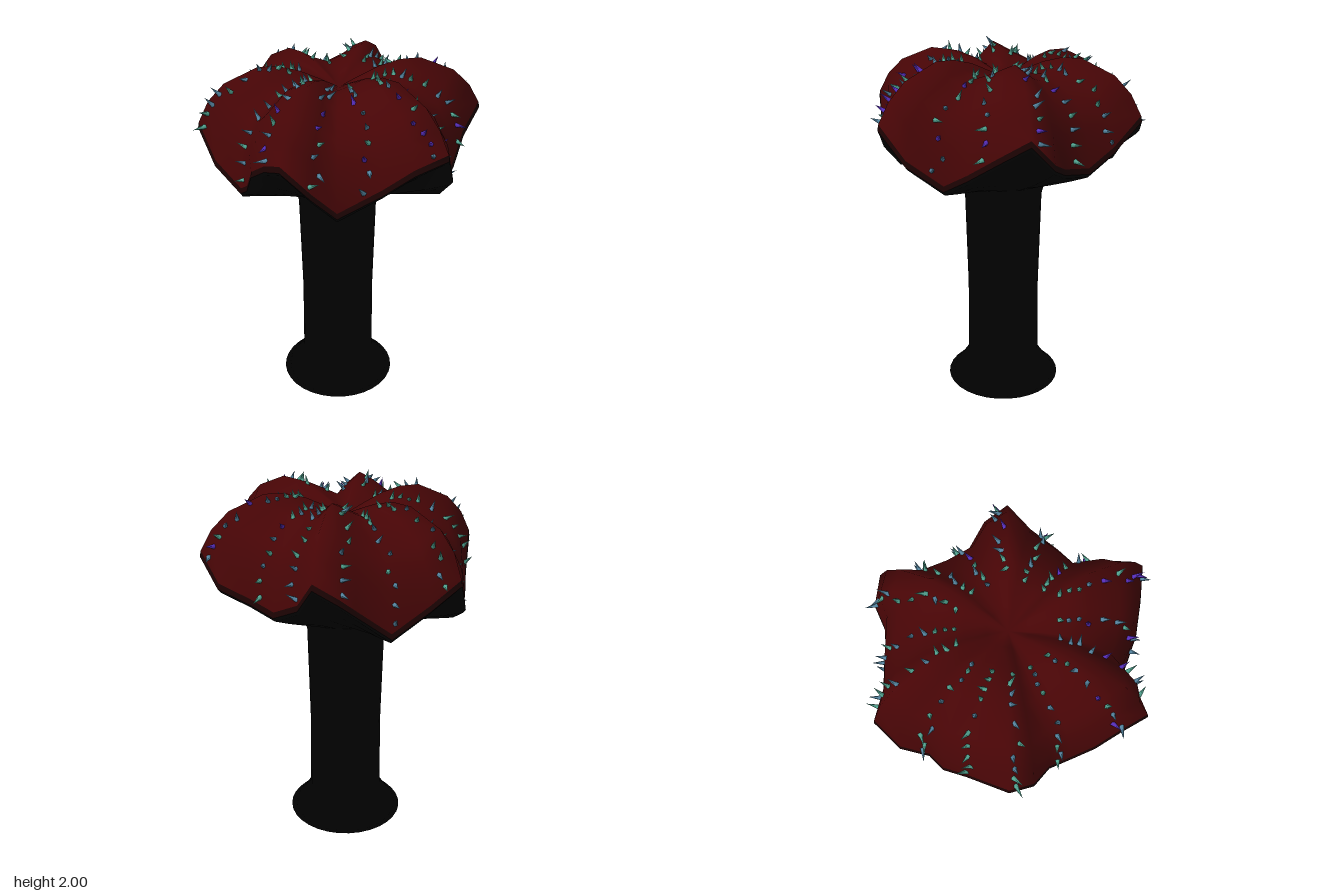
import * as THREE from 'three';
import { mergeGeometries, mergeVertices } from 'three/addons/utils/BufferGeometryUtils.js';

const CX = -0.02, CZ = 0.01, APEX = 1.82;

// Scalloped cap rim, [x, z, y], running round from the left side
const RIM = [
  [0.777, 0, 1.7], [0.69, 0.13, 1.63], [0.6, 0.25, 1.53], [0.43, 0.39, 1.38], [0.43, 0.54, 1.53],
  [0.36, 0.67, 1.69], [0.22, 0.66, 1.64], [0.09, 0.65, 1.56], [-0.02, 0.61, 1.43], [-0.12, 0.585, 1.37],
  [-0.25, 0.647, 1.5], [-0.39, 0.647, 1.67], [-0.51, 0.446, 1.52], [-0.585, 0.335, 1.43], [-0.607, 0.22, 1.37],
  [-0.72, 0.134, 1.45], [-0.77, 0.01, 1.62], [-0.68, -0.11, 1.5], [-0.585, -0.29, 1.38], [-0.49, -0.446, 1.52],
  [-0.48, -0.55, 1.6], [-0.39, -0.64, 1.68], [-0.25, -0.595, 1.53], [-0.08, -0.59, 1.45], [0.09, -0.59, 1.48],
  [0.23, -0.67, 1.55], [0.37, -0.656, 1.69], [0.42, -0.49, 1.58], [0.5, -0.34, 1.47], [0.55, -0.21, 1.39],
  [0.705, -0.116, 1.53],
];
// Radial profiles of a ridge and of a valley: [fraction of rim radius, height]
const RIDGE = [[0, APEX], [0.14, 1.875], [0.28, 1.925], [0.42, 1.955], [0.56, 1.96], [0.8, 1.885], [0.92, 1.8], [1, 1.7]];
const VALLEY = [[0, APEX], [0.16, 1.845], [0.32, 1.865], [0.46, 1.865], [0.62, 1.83], [0.86, 1.73], [0.97, 1.58], [1, 1.38]];
const LAST = RIDGE.length - 1;

const TAU = Math.PI * 2;
const { lerp, clamp, degToRad } = THREE.MathUtils;
const mod = (a) => ((a % TAU) + TAU) % TAU;
const polar = RIM.map(([x, z, y]) => ({
  a: mod(Math.atan2(z - CZ, x - CX)), r: Math.hypot(x - CX, z - CZ), y,
})).sort((p, q) => p.a - q.a);

// Rim radius and height at any angle
function rimAt(angle) {
  const a = mod(angle) + 1e-7, n = polar.length;
  const i = Math.max(polar.findIndex((p) => p.a > a), 0);
  const p = polar[(i + n - 1) % n], q = polar[i];
  const k = mod(a - p.a) / mod(q.a - p.a);
  return { r: lerp(p.r, q.r, k), y: lerp(p.y, q.y, k) };
}

const at = (angle, r, y) => new THREE.Vector3(CX + Math.cos(angle) * r, y, CZ + Math.sin(angle) * r);

// Point on the cap; t runs 0 at the apex to 1 at the rim
function capPoint(angle, t) {
  const rim = rimAt(angle);
  const w = clamp((rim.y - 1.38) / 0.32, 0, 1);
  const s = t * LAST, i = Math.min(Math.floor(s), LAST - 1), k = s - i;
  const mix = (c) => {
    const along = (P) => lerp(P[i][c], P[i + 1][c], k);
    return lerp(along(VALLEY), along(RIDGE), w);
  };
  const fix = (rim.y - (1.38 + 0.32 * w)) * t;
  return at(angle, rim.r * mix(0), mix(1) + fix);
}

// Skin a list of rings, each a function of angle
function loft(rings) {
  const angles = polar.map((p) => p.a), n = angles.length;
  const pos = [], idx = [];
  rings.forEach((ring) => angles.forEach((a) => pos.push(...ring(a).toArray())));
  const pointed = rings[0](0).distanceTo(rings[0](3)) < 1e-6;
  for (let i = 0; i < rings.length - 1; i++) {
    for (let j = 0; j < n; j++) {
      const a = i * n + j, b = i * n + ((j + 1) % n), c = a + n, d = b + n;
      if (i > 0 || !pointed) idx.push(a, b, c);
      idx.push(b, d, c);
    }
  }
  let g = new THREE.BufferGeometry();
  g.setAttribute('position', new THREE.Float32BufferAttribute(pos, 3));
  g.setIndex(idx);
  g = mergeVertices(g, 1e-5);
  g.computeVertexNormals();
  return g;
}

let seed = 7;
const rand = () => (seed = (seed * 16807) % 2147483647) / 2147483647;

export function createModel() {
  const group = new THREE.Group();
  const material = (name, color) => {
    const m = new THREE.MeshStandardMaterial({ color });
    m.name = name;
    return m;
  };
  const red = material('dark red', 0x470506);
  const maroon = material('rim maroon', 0x1c0202);
  const black = material('black', 0x010101);
  const spineMaterials = [
    material('teal', 0x54a894), material('slate blue', 0x5788a4), material('violet', 0x5a2fc0),
  ];
  const add = (name, geometry, mat) => {
    const mesh = new THREE.Mesh(geometry, mat);
    mesh.name = name;
    group.add(mesh);
  };

  // Cap top
  add('cap', loft(RIDGE.map((_, i) => (a) => capPoint(a, i / LAST))), red);

  // Rolled edge under the cap
  const edge = (scale, drop) => (a) => {
    const { r, y } = rimAt(a);
    return at(a, r * scale, y - drop);
  };
  add('capRim', loft([edge(1, 0), edge(1.008, 0.03)]), maroon);

  // Underside running in to the stem
  const under = (k, lift) => (a) => {
    const { r, y } = rimAt(a);
    return at(a, lerp(0.22, r, k), lerp(1.25, y - 0.05, lift));
  };
  add('capUnderside', loft([
    edge(1.008, 0.03), under(0.98, 1), under(0.7, 0.68), under(0.35, 0.32), under(0, 0),
  ]), black);

  // Stem with closed, flared foot and neck
  const profile = [[0, 0], [0.33, 0], [0.27, 0.06], [0.21, 0.15], [0.205, 0.6], [0.217, 1.17], [0.24, 1.25], [0.26, 1.28]];
  const stem = new THREE.LatheGeometry(profile.map(([x, y]) => new THREE.Vector2(x, y)), 32);
  add('stem', stem.translate(CX, 0, 0.02), black);

  // Rows of small spines standing out from the cap
  const buckets = [[], [], []];
  const up = new THREE.Vector3(0, 1, 0);
  for (let row = 0; row < 16; row++) {
    for (let i = 0; i < 10; i++) {
      const angle = degToRad(4 + row * 22.5 + (rand() - 0.5) * 5);
      const t = 0.36 + (i / 9) * 0.61;
      const p = capPoint(angle, t);
      const normal = capPoint(angle + 0.04, t).sub(capPoint(angle - 0.04, t))
        .cross(capPoint(angle, t + 0.02).sub(capPoint(angle, t - 0.02))).normalize();
      normal.add(new THREE.Vector3(rand() - 0.5, rand() - 0.5, rand() - 0.5).multiplyScalar(0.9)).normalize();
      const length = 0.035 + t * 0.02 + rand() * 0.02;
      const cone = new THREE.ConeGeometry(0.014, length, 5).translate(0, length / 2 - 0.008, 0);
      cone.applyQuaternion(new THREE.Quaternion().setFromUnitVectors(up, normal));
      cone.translate(p.x, p.y, p.z);
      const violet = p.x > 0 && t > 0.55 && rand() < 0.4;
      buckets[violet ? 2 : rand() < 1 - t * 0.7 ? 0 : 1].push(cone);
    }
  }
  ['tealSpines', 'blueSpines', 'violetSpines'].forEach((name, i) => {
    add(name, mergeGeometries(buckets[i]), spineMaterials[i]);
  });

  return group;
}
